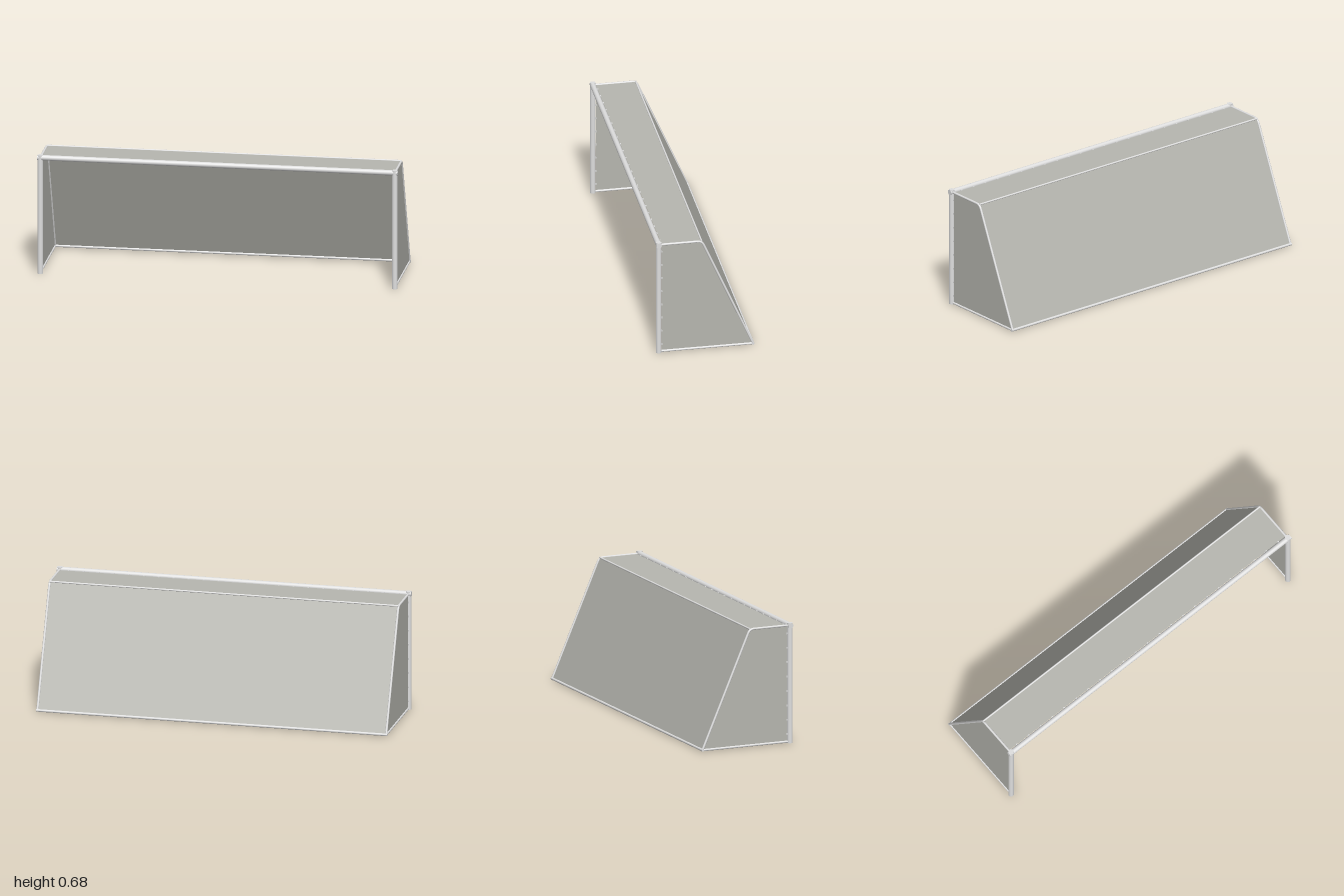
import * as THREE from 'three';

const POST_R = 0.0155, TUBE_R = 0.0065, X = 0.984;
const FRONT_Z = 0.26, BAR_Y = 0.661, LOW_Y = 0.0075, BACK_Z = -0.267, BEND_Z = 0.02;

const frameMat = new THREE.MeshStandardMaterial({ name: 'paintedMetal', color: 0xdedede });
const netMat = new THREE.MeshStandardMaterial({ name: 'netting', color: 0xb6b6af, side: THREE.DoubleSide });

function add(group, name, geometry, material) {
  const mesh = new THREE.Mesh(geometry, material);
  mesh.name = name;
  group.add(mesh);
  return mesh;
}

// Straight bar running along x
function crossRod(group, name, y, z, radius, length) {
  const geo = new THREE.CylinderGeometry(radius, radius, length, 20).rotateZ(Math.PI / 2);
  add(group, name, geo, frameMat).position.set(0, y, z);
}

// Flat net panel spanning the width between two (y, z) edges
function netPanel(group, name, [y0, z0], [y1, z1], halfWidth) {
  const geo = new THREE.PlaneGeometry(2 * halfWidth, 1);
  const p = geo.attributes.position;
  for (let i = 0; i < p.count; i++) {
    const t = p.getY(i) + 0.5;
    p.setXYZ(i, p.getX(i), y0 + (y1 - y0) * t, z0 + (z1 - z0) * t);
  }
  geo.computeVertexNormals();
  add(group, name, geo, netMat);
}

export function createModel() {
  const goal = new THREE.Group();
  goal.name = 'goal';

  // Side frame path: top arm, rounded bend, sloping stay
  const v = (y, z) => new THREE.Vector3(0, y, z);
  const arm = new THREE.CurvePath();
  arm.add(new THREE.LineCurve3(v(BAR_Y, FRONT_Z), v(BAR_Y, 0.042)));
  arm.add(new THREE.QuadraticBezierCurve3(v(BAR_Y, 0.042), v(BAR_Y, 0.018), v(0.637, 0.008)));
  arm.add(new THREE.LineCurve3(v(0.637, 0.008), v(LOW_Y, BACK_Z)));

  // Side net outline; shape x becomes z
  const outline = new THREE.Shape([
    [0.242, 0.01], [0.242, BAR_Y], [0.042, BAR_Y], [0.018, 0.652],
    [0.008, 0.637], [BACK_Z + 0.003, 0.01],
  ].map(([z, y]) => new THREE.Vector2(-z, y)));

  for (const side of [-1, 1]) {
    const half = new THREE.Group();
    half.name = side > 0 ? 'leftSide' : 'rightSide';
    half.position.x = side * X;
    goal.add(half);

    add(half, 'post', new THREE.CylinderGeometry(POST_R, POST_R, 0.676, 24), frameMat)
      .position.set(0, 0.338, FRONT_Z);
    add(half, 'sideStay', new THREE.TubeGeometry(arm, 120, TUBE_R, 12), frameMat);
    const groundLength = FRONT_Z - BACK_Z;
    add(half, 'groundTube', new THREE.CylinderGeometry(TUBE_R, TUBE_R, groundLength, 12).rotateX(Math.PI / 2), frameMat)
      .position.set(0, LOW_Y, (FRONT_Z + BACK_Z) / 2);
    add(half, 'sideNet', new THREE.ShapeGeometry(outline).rotateY(Math.PI / 2), netMat);

    // Net clips on the back of the post
    for (let i = 0; i < 8; i++) {
      add(half, 'postClip', new THREE.BoxGeometry(0.005, 0.01, 0.008), frameMat)
        .position.set(0, 0.05 + i * 0.081, 0.243);
    }
  }

  // Bars across the width
  crossRod(goal, 'crossbar', BAR_Y, FRONT_Z, POST_R - 0.0005, 2);
  crossRod(goal, 'backGroundBar', LOW_Y, BACK_Z, 0.0072, 1.982);
  crossRod(goal, 'topBackRod', 0.6615, BEND_Z, 0.005, 2 * X);

  // Net clips along the crossbar
  for (let i = 0; i < 23; i++) {
    add(goal, 'crossbarClip', new THREE.BoxGeometry(0.01, 0.005, 0.008), frameMat)
      .position.set((i - 11) * 0.0845, BAR_Y, 0.243);
  }

  // Top and back nets
  netPanel(goal, 'topNet', [BAR_Y, 0.242], [BAR_Y, BEND_Z], 0.978);
  netPanel(goal, 'backNet', [BAR_Y, BEND_Z], [LOW_Y, BACK_Z], 0.978);

  return goal;
}
